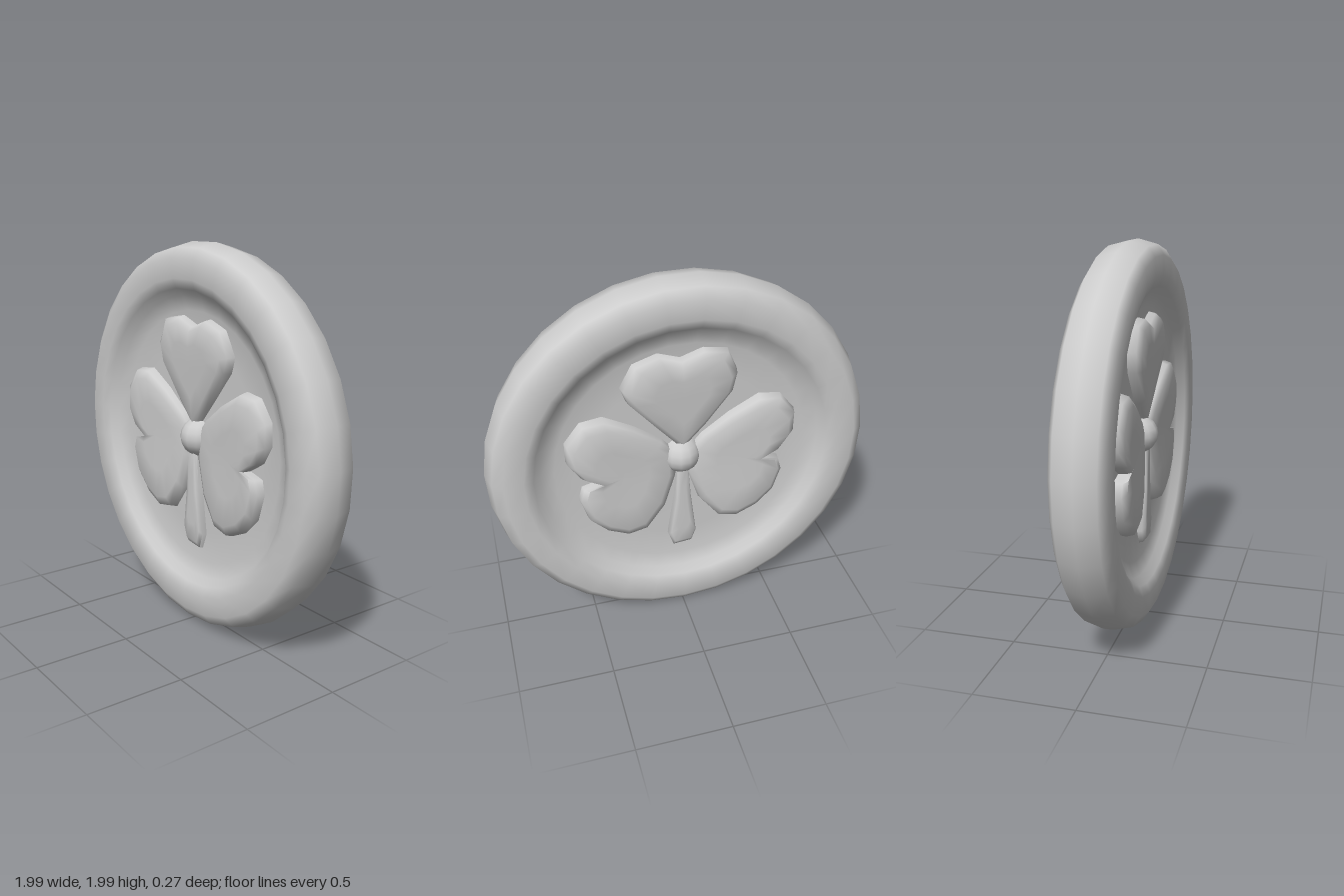
import * as THREE from 'three';
import { toCreasedNormals } from 'three/addons/utils/BufferGeometryUtils.js';

const CENTER = 0.998; // height of the medallion's centre

// Closed two-sided pad: concentric loops of an outline, from front apex to back apex
function padGeometry(outline, mid, heightAt) {
  const front = [[0.02, 1], [0.5, 1], [0.88, 0.98], [1, 0.78], [1.05, 0.25]];
  const loops = [...front, ...front.map(([s, h]) => [s, -h]).reverse()];
  const n = outline.length, pos = [], index = [];
  for (const [s, h] of loops) {
    for (const [px, py] of outline) {
      const x = mid[0] + (px - mid[0]) * s, y = mid[1] + (py - mid[1]) * s;
      pos.push(x, y, h * heightAt(Math.hypot(x, y)));
    }
  }
  for (let k = 0; k < loops.length - 1; k++) {
    for (let i = 0; i < n; i++) {
      const j = (i + 1) % n, a = k * n + i, b = k * n + j, c = a + n, d = b + n;
      index.push(a, c, b, b, c, d);
    }
  }
  for (let i = 1; i < n - 1; i++) { // tiny end caps
    const l = (loops.length - 1) * n;
    index.push(0, i, i + 1, l, l + i + 1, l + i);
  }
  const g = new THREE.BufferGeometry();
  g.setAttribute('position', new THREE.Float32BufferAttribute(pos, 3));
  g.setIndex(index);
  return toCreasedNormals(g, 1.3);
}

export function createModel() {
  const group = new THREE.Group();
  const stone = new THREE.MeshStandardMaterial({ color: 0xcccccc });
  stone.name = 'pale grey';
  const add = (name, geometry) => {
    const mesh = new THREE.Mesh(geometry, stone);
    mesh.name = name;
    mesh.position.y = CENTER;
    group.add(mesh);
    return mesh;
  };

  // Round rim flowing into a sunken disc, the same on both faces
  const half = [[0, 0.04], [0.5, 0.04], [0.66, 0.05], [0.735, 0.075], [0.77, 0.115],
    [0.82, 0.134], [0.92, 0.134], [0.972, 0.1]];
  const profile = [
    ...half.map(([r, z]) => [r, -z]), [0.998, 0], ...half.slice().reverse(),
  ].map(([r, z]) => new THREE.Vector2(r, z));
  const rim = new THREE.LatheGeometry(profile, 31);
  rim.rotateX(Math.PI / 2);
  add('rimAndDisc', rim);

  // Three heart-shaped leaves, outlines counterclockwise around the hub
  const leafHeight = (d) => 0.075 + 0.035 * Math.min(1, d / 0.5);
  const topLeaf = [[0, 0.06], [0.12, 0.2], [0.27, 0.38], [0.3, 0.46], [0.24, 0.58], [0.12, 0.62],
    [0.01, 0.58], [-0.1, 0.62], [-0.22, 0.6], [-0.27, 0.48], [-0.25, 0.38], [-0.12, 0.2]];
  const rightLeaf = [[0.04, 0.04], [0.04, -0.1], [0.1, -0.28], [0.2, -0.41], [0.3, -0.43], [0.41, -0.38],
    [0.5, -0.29], [0.54, -0.16], [0.52, -0.09], [0.43, -0.07], [0.53, -0.01], [0.59, 0.08],
    [0.59, 0.19], [0.51, 0.29], [0.4, 0.3], [0.25, 0.22], [0.11, 0.12]];
  const leftLeaf = rightLeaf.map(([x, y]) => [-x, y]).reverse();
  add('topLeaf', padGeometry(topLeaf, [0, 0.38], leafHeight));
  add('rightLeaf', padGeometry(rightLeaf, [0.32, -0.04], leafHeight));
  add('leftLeaf', padGeometry(leftLeaf, [-0.32, -0.04], leafHeight));

  // Stem widening toward its foot
  const stem = [[-0.025, 0], [-0.045, -0.25], [-0.075, -0.5], [-0.05, -0.57],
    [0.05, -0.58], [0.075, -0.5], [0.04, -0.25], [0.025, 0]];
  add('stem', padGeometry(stem, [0, -0.34], () => 0.085));

  // Rounded hub showing on both faces
  const hub = add('hub', new THREE.SphereGeometry(0.11, 14, 10));
  hub.position.y = CENTER + 0.01;
  hub.scale.z = 1.2;

  return group;
}
